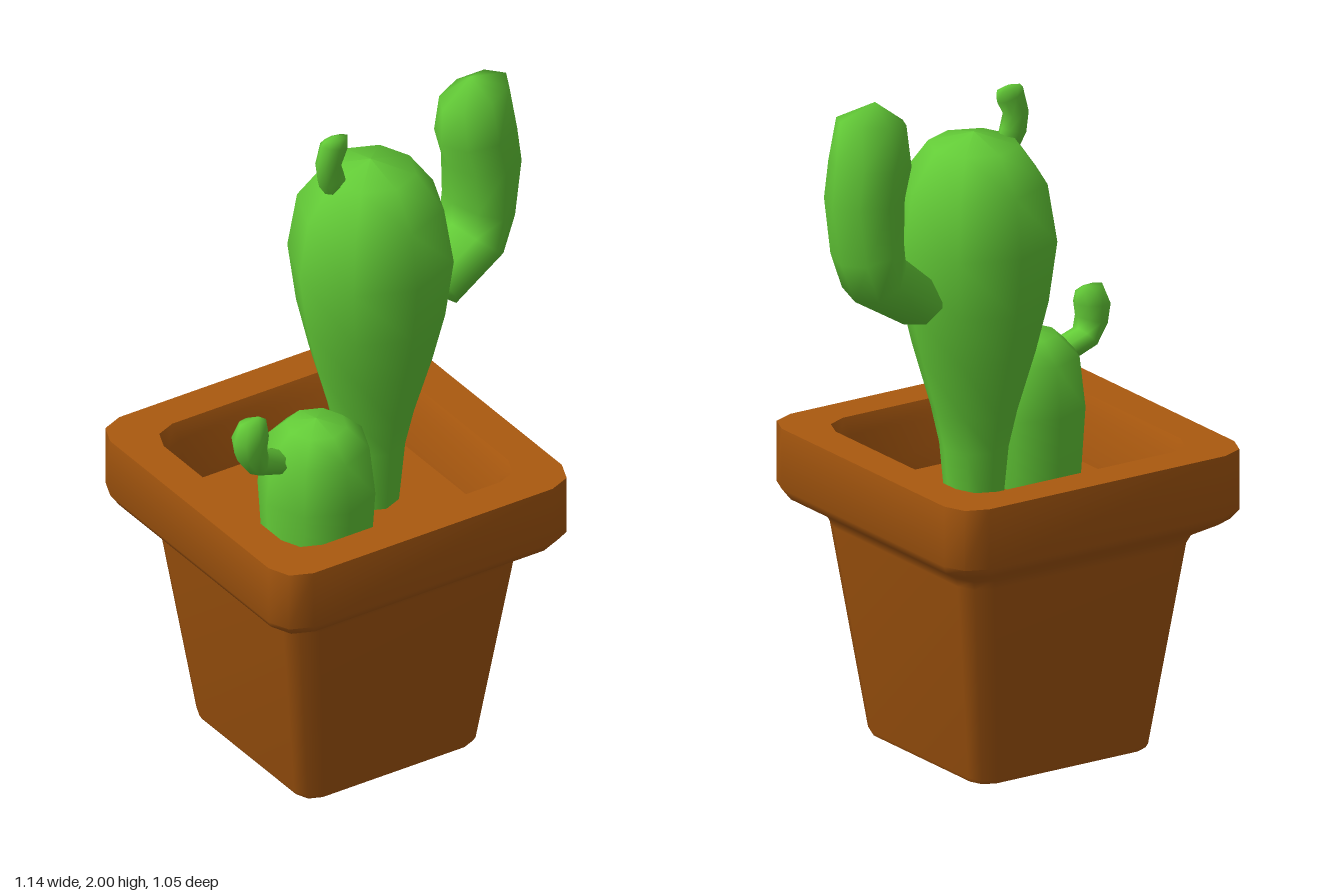
import * as THREE from 'three';
import { toCreasedNormals } from 'three/addons/utils/BufferGeometryUtils.js';

const TURN = -0.068; // the whole plant sits slightly twisted

const green = new THREE.MeshStandardMaterial({ color: 0x63cb37 });
green.name = 'cactus green';
const terracotta = new THREE.MeshStandardMaterial({ color: 0xaa590f });
terracotta.name = 'terracotta';

// Skins a list of equal rings (arrays of Vector3) and closes both ends at a point
function loft(rings, start, end) {
  const n = rings[0].length;
  const points = [...rings.flat(), start, end];
  const first = points.length - 2, last = points.length - 1;
  const index = [];
  for (let j = 0; j < n; j++) {
    const k = (j + 1) % n;
    for (let i = 0; i < rings.length - 1; i++) {
      const a = i * n, b = a + n;
      index.push(a + j, a + k, b + k, a + j, b + k, b + j);
    }
    const t = (rings.length - 1) * n;
    index.push(first, k, j, last, t + j, t + k);
  }
  const geometry = new THREE.BufferGeometry().setFromPoints(points);
  geometry.setIndex(index);
  geometry.computeVertexNormals();
  return geometry;
}

// Square ring with rounded corners, counter-clockwise from above
function squareRing([half, radius, y]) {
  const ring = [];
  for (let corner = 0; corner < 4; corner++) {
    const mid = (corner + 0.5) * Math.PI / 2;
    const cx = Math.sign(Math.cos(mid)) * (half - radius);
    const cz = -Math.sign(Math.sin(mid)) * (half - radius);
    for (let s = 0; s <= 2; s++) {
      const a = (corner + s / 2) * Math.PI / 2;
      ring.push(new THREE.Vector3(cx + radius * Math.cos(a), y, cz - radius * Math.sin(a)));
    }
  }
  return ring;
}

// Curved arm: sections are [x, y, heading in degrees, half width, half depth]
function arm(name, z, sections, start, end) {
  const rings = sections.map(([x, y, degrees, w, d]) => {
    const t = THREE.MathUtils.degToRad(degrees);
    return Array.from({ length: 8 }, (_, j) => {
      const a = j * Math.PI / 4, u = w * Math.cos(a);
      return new THREE.Vector3(x - Math.sin(t) * u, y + Math.cos(t) * u, z + d * Math.sin(a));
    });
  });
  const geometry = loft(rings, new THREE.Vector3(...start, z), new THREE.Vector3(...end, z));
  const mesh = new THREE.Mesh(geometry, green);
  mesh.name = name;
  return mesh;
}

// Eight-sided cactus body from a [radius, height] profile
function body(name, x, z, profile) {
  const geometry = new THREE.LatheGeometry(profile.map(p => new THREE.Vector2(...p)), 8);
  const mesh = new THREE.Mesh(geometry, green);
  mesh.name = name;
  mesh.position.set(x, 0, z);
  mesh.rotation.y = TURN;
  return mesh;
}

export function createModel() {
  const model = new THREE.Group();
  model.name = 'pottedCactus';

  // Pot: outside wall, flared rim, then down the inside to the soil level
  const potRings = [
    [0.295, 0.055, 0], [0.302, 0.06, 0.012], [0.384, 0.075, 0.62], [0.397, 0.078, 0.65],
    [0.478, 0.09, 0.7], [0.497, 0.092, 0.73], [0.497, 0.092, 0.91],
    [0.385, 0.085, 0.91], [0.365, 0.08, 0.86], [0.352, 0.08, 0.72],
  ].map(squareRing);
  const potGeometry = loft(potRings, new THREE.Vector3(0, 0, 0), new THREE.Vector3(0, 0.72, 0));
  const pot = new THREE.Mesh(toCreasedNormals(potGeometry, 0.87), terracotta);
  pot.name = 'pot';
  pot.position.x = -0.05;
  pot.rotation.y = TURN;
  model.add(pot);

  // Tall cactus and its large arm and top sprout
  model.add(body('tallCactus', 0.073, 0, [
    [0.08, 0.7], [0.1, 0.91], [0.125, 1.02], [0.178, 1.2], [0.215, 1.35],
    [0.24, 1.53], [0.212, 1.7], [0.132, 1.81], [0, 1.845],
  ]));
  model.add(arm('largeArm', 0.022, [
    [0.265, 1.385, 30, 0.085, 0.122], [0.415, 1.475, 50, 0.09, 0.12], [0.44, 1.57, 70, 0.1, 0.118],
    [0.45, 1.72, 88, 0.115, 0.115], [0.43, 1.82, 95, 0.124, 0.112], [0.425, 1.945, 100, 0.115, 0.083],
  ], [0.235, 1.36], [0.412, 2.0]));
  model.add(arm('topSprout', -0.01, [
    [-0.035, 1.775, 130, 0.035, 0.03], [-0.06, 1.825, 105, 0.044, 0.032], [-0.07, 1.875, 85, 0.041, 0.032],
    [-0.05, 1.93, 72, 0.048, 0.03], [-0.043, 1.952, 85, 0.042, 0.018],
  ], [-0.02, 1.76], [-0.045, 1.962]));

  // Small cactus and its side arm
  model.add(body('smallCactus', -0.223, 0.135, [
    [0.155, 0.7], [0.17, 0.93], [0.153, 1.08], [0.088, 1.14], [0, 1.16],
  ]));
  model.add(arm('smallArm', 0.13, [
    [-0.34, 1.06, 160, 0.036, 0.047], [-0.43, 1.088, 138, 0.038, 0.047], [-0.453, 1.135, 108, 0.049, 0.047],
    [-0.455, 1.185, 95, 0.058, 0.048], [-0.445, 1.228, 82, 0.047, 0.03],
  ], [-0.31, 1.05], [-0.425, 1.24]));

  return model;
}
